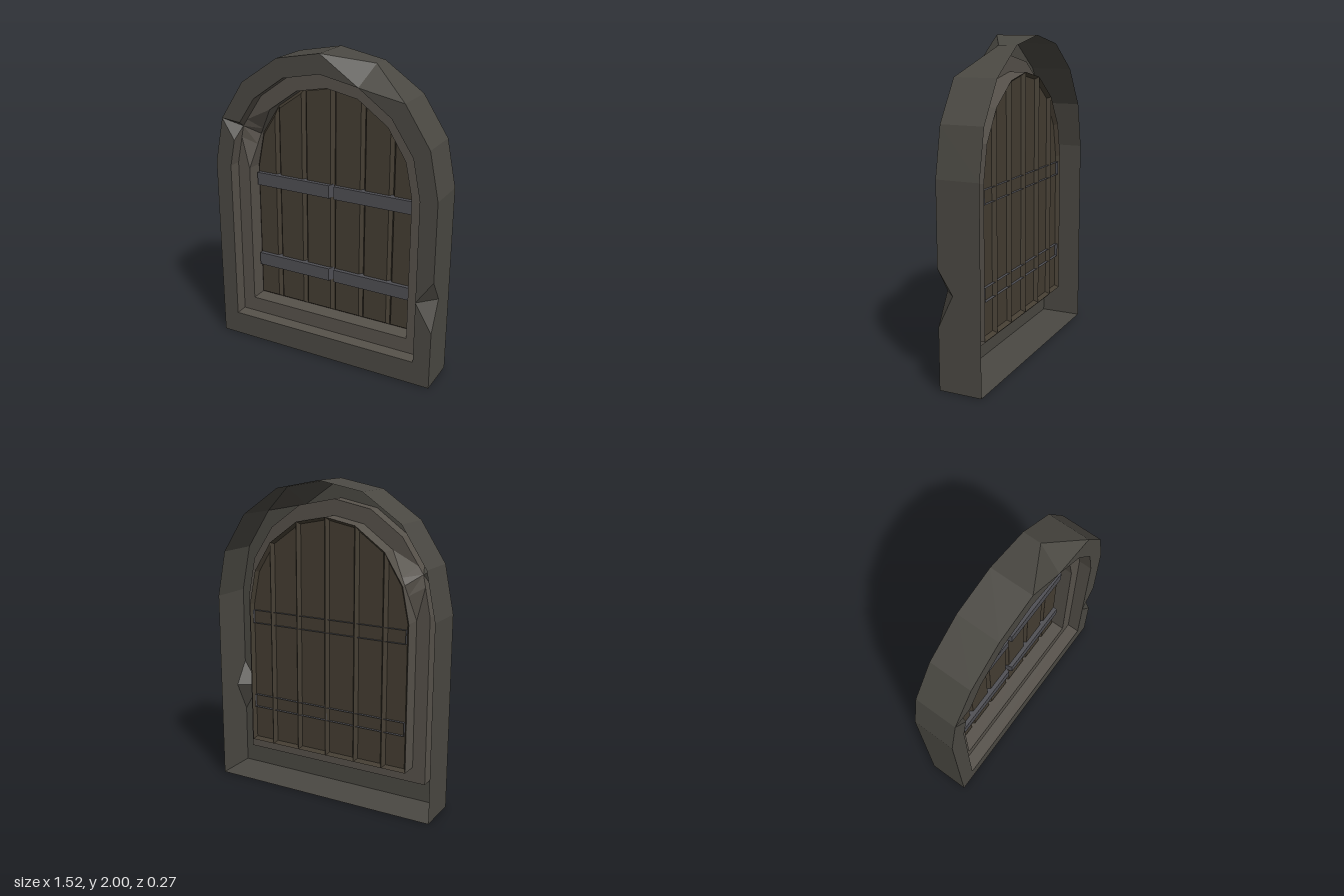
import * as THREE from 'three';

const material = (color) => new THREE.MeshStandardMaterial({ color, flatShading: true, side: THREE.DoubleSide });

// Mirrors a half outline (right side, bottom to crown) into a full anticlockwise loop at depth z
function archLoop(half, z) {
  const right = half.map(([x, y]) => new THREE.Vector3(x, y, z));
  const left = half.slice(0, -1).reverse().map(([x, y]) => new THREE.Vector3(-x, y, z));
  return [...right, ...left];
}

// Adds extra points along some edges, so chips can be cut there
const SPLITS = { 0: [0.31, 0.47, 0.59], 7: [0.78], 8: [0.3] };
function split(loop) {
  return loop.flatMap((p, i) => [
    p, ...(SPLITS[i] || []).map((t) => p.clone().lerp(loop[(i + 1) % loop.length], t)),
  ]);
}

// Skins consecutive loops; each quad is folded along its more forward diagonal. Optionally caps the last loop.
function skin(loops, cap = false) {
  const pos = [];
  const tri = (...pts) => pts.forEach((p) => pos.push(p.x, p.y, p.z));
  for (let k = 0; k + 1 < loops.length; k++) {
    const a = loops[k], b = loops[k + 1];
    a.forEach((p, i) => {
      const j = (i + 1) % a.length;
      if (p.z + b[j].z >= a[j].z + b[i].z) {
        tri(p, a[j], b[j]);
        tri(p, b[j], b[i]);
      } else {
        tri(p, a[j], b[i]);
        tri(a[j], b[j], b[i]);
      }
    });
  }
  if (cap) {
    const c = loops[loops.length - 1];
    for (let i = 1; i + 1 < c.length; i++) tri(c[0], c[i], c[i + 1]);
  }
  const geometry = new THREE.BufferGeometry();
  geometry.setAttribute('position', new THREE.Float32BufferAttribute(pos, 3));
  geometry.computeVertexNormals();
  return geometry;
}

// Shrinks a convex anticlockwise outline by d
function inset(pts, d) {
  const n = pts.length;
  return pts.map(([x, y], i) => {
    const [px, py] = pts[(i + n - 1) % n], [qx, qy] = pts[(i + 1) % n];
    const u = new THREE.Vector2(x - px, y - py).normalize();
    const v = new THREE.Vector2(qx - x, qy - y).normalize();
    const s = d / (1 + u.dot(v));
    return [x + s * (-u.y - v.y), y + s * (u.x + v.x)];
  });
}

const at = (pts, z) => pts.map(([x, y]) => new THREE.Vector3(x, y, z));

export function createModel() {
  const group = new THREE.Group();
  const stone = material(0x4a4842), trim = material(0x56514a);
  const wood = material(0x443d32), iron = material(0x4e4e53);
  const add = (name, geometry, mat, parent = group) => {
    const mesh = new THREE.Mesh(geometry, mat);
    mesh.name = name;
    parent.add(mesh);
  };

  // Arch outlines
  const outer = [[0.76, 0], [0.76, 1.235], [0.70, 1.53], [0.54, 1.775], [0.29, 1.945], [0, 2]];
  const middle = [[0.65, 0.155], [0.65, 1.22], [0.60, 1.47], [0.46, 1.68], [0.25, 1.83], [0, 1.88]];
  const inner = [[0.565, 0.255], [0.565, 1.19], [0.52, 1.41], [0.40, 1.60], [0.205, 1.74], [0, 1.78]];
  const FRONT = 0.135, LEDGE = 0.05, DOOR = -0.06;

  // Chips: crown, side edge and the gouge through the inner rim
  const outerFront = archLoop(outer, FRONT);
  outerFront[4].z = -0.02;
  const outerSplit = split(outerFront);
  outerSplit[2].z = 0.04;

  const rim = split(archLoop(middle, FRONT));
  rim[2].y = 0.57;
  rim[12].z = LEDGE;

  const ledgeInner = archLoop(inner, LEDGE);
  ledgeInner[8].z = -0.03;

  // Open-backed stone surround and recessed trim with its reveal
  add('stoneSurround', skin([split(archLoop(outer, -FRONT)), outerSplit, rim]), stone);
  add('innerTrim', skin([
    rim, split(archLoop(middle, LEDGE)), split(ledgeInner), split(archLoop(inner, DOOR)),
  ]), trim);

  // Bevelled planks, cut to the arch
  const planks = new THREE.Group();
  planks.name = 'planks';
  group.add(planks);
  const base = 0.255;
  const cuts = [
    [[0, base], [0.205, base], inner[4], inner[5]],
    [[0.205, base], [0.40, base], inner[3], inner[4]],
    [[0.40, base], inner[0], inner[1], inner[2], inner[3]],
  ];
  for (const outline of cuts) {
    const mirrored = outline.map(([x, y]) => [-x, y]).reverse();
    for (const pts of [outline, mirrored]) {
      add('plank', skin([at(pts, DOOR), at(inset(pts, 0.018), -0.035)], true), wood, planks);
    }
  }

  // Iron straps in two halves, meeting in a notch at the centre
  const straps = new THREE.Group();
  straps.name = 'ironStraps';
  group.add(straps);
  for (const [y0, y1] of [[0.49, 0.575], [1.065, 1.15]]) {
    for (const side of [1, -1]) {
      const rect = (x0, x1, z) => {
        const a = Math.min(side * x0, side * x1), b = Math.max(side * x0, side * x1);
        return at([[a, y0], [b, y0], [b, y1], [a, y1]], z);
      };
      add('strapHalf', skin([rect(0.004, 0.545, -0.055), rect(0.018, 0.545, -0.008)], true), iron, straps);
    }
  }
  return group;
}
